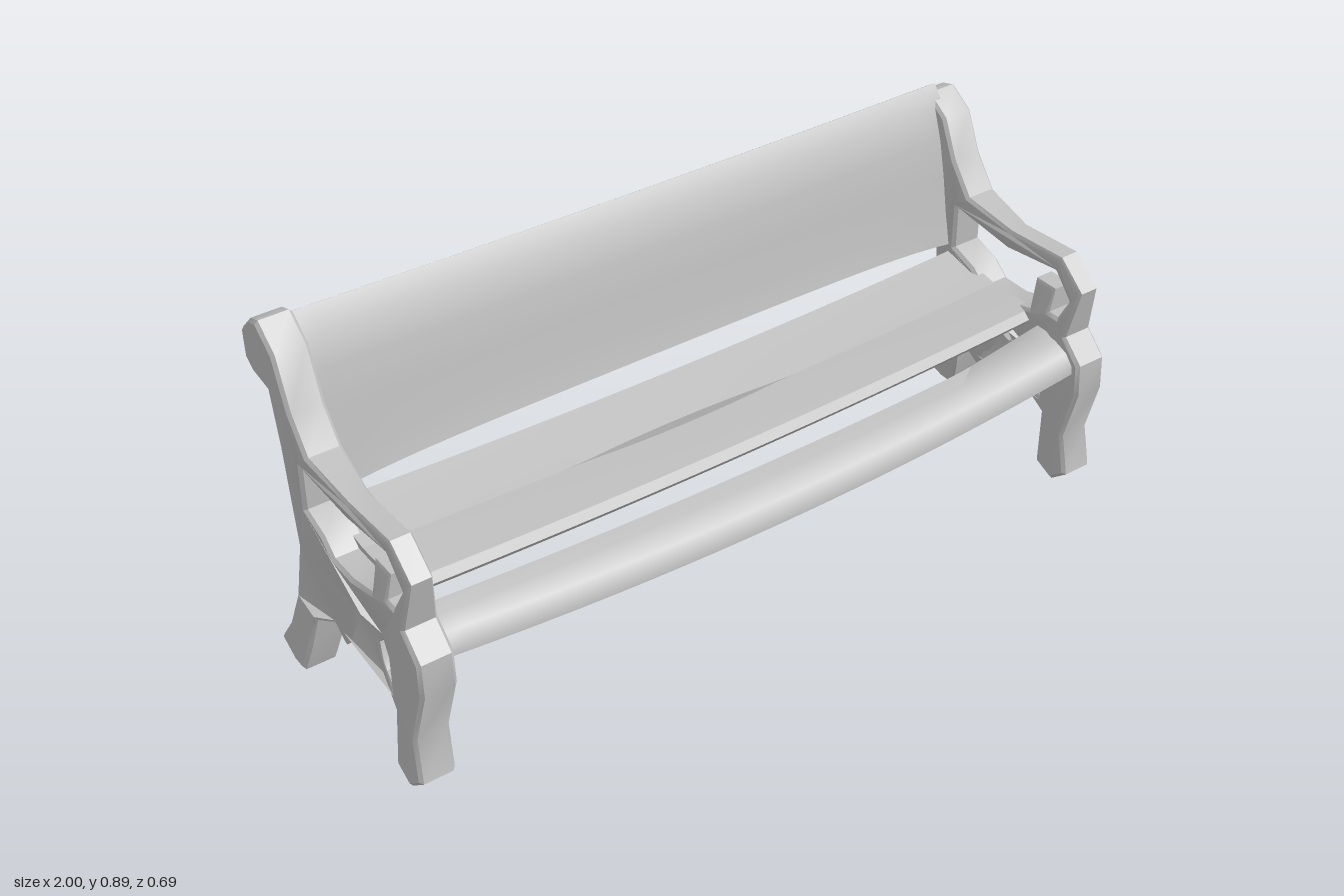
import * as THREE from 'three';
import { toCreasedNormals } from 'three/addons/utils/BufferGeometryUtils.js';

const castMetal = new THREE.MeshStandardMaterial({ color: 0xc0c0c0 });
castMetal.name = 'light grey';

// Profiles are lists of [z, y]; they are extruded along x.
const toPoints = (list) => list.map(([z, y]) => new THREE.Vector2(-z, y));

function extrudeAlongX(outline, holes, length, steps, bevel, warp, crease) {
  const shape = new THREE.Shape(toPoints(outline));
  holes.forEach((h) => shape.holes.push(new THREE.Path(toPoints(h))));
  const geo = new THREE.ExtrudeGeometry(shape, {
    depth: length - 2 * bevel, steps, bevelEnabled: bevel > 0,
    bevelSize: bevel, bevelThickness: bevel, bevelOffset: -bevel, bevelSegments: 1,
  });
  geo.translate(0, 0, bevel - length / 2);
  geo.rotateY(Math.PI / 2);
  const pos = geo.attributes.position;
  const v = new THREE.Vector3();
  for (let i = 0; i < pos.count; i++) {
    v.fromBufferAttribute(pos, i);
    warp(v);
    pos.setXYZ(i, v.x, v.y, v.z);
  }
  return toCreasedNormals(geo, crease);
}

// End frame: legs, scrolls, arm and back post in one casting
const frameOutline = [
  [0.33, 0.045], [0.283, 0.005], [0.225, 0.03], [0.225, 0.18], [0.145, 0.2], [0.1, 0.245],
  [0.1, 0.29], [0.085, 0.335], [0.035, 0.31], [0.045, 0.275], [0.01, 0.205], [-0.03, 0.165],
  [-0.08, 0.193], [-0.112, 0.19], [-0.13, 0.1], [-0.15, 0.03], [-0.19, 0.03], [-0.26, 0.055],
  [-0.225, 0.115], [-0.2, 0.21], [-0.19, 0.35], [-0.2, 0.43], [-0.22, 0.6], [-0.245, 0.73],
  [-0.31, 0.74], [-0.342, 0.765], [-0.345, 0.835], [-0.3, 0.88], [-0.265, 0.892], [-0.2, 0.84],
  [-0.155, 0.72], [-0.095, 0.64], [0.05, 0.612], [0.225, 0.624], [0.302, 0.56], [0.278, 0.43],
  [0.335, 0.375], [0.34, 0.29], [0.305, 0.15],
];
const frameHoles = [
  // opening under the arm, with the upright stub
  [[0.21, 0.582], [0.04, 0.56], [-0.132, 0.592], [-0.132, 0.48], [-0.06, 0.455], [-0.02, 0.42],
    [0.06, 0.42], [0.15, 0.445], [0.15, 0.53], [0.215, 0.53], [0.215, 0.47], [0.245, 0.47], [0.265, 0.52]],
  // two loops of the bracket below the seat
  [[0.2, 0.3], [0.145, 0.31], [0.122, 0.28], [0.135, 0.24], [0.15, 0.22], [0.212, 0.22]],
  [[0.0, 0.315], [-0.085, 0.258], [-0.085, 0.205], [-0.05, 0.205], [0.0, 0.24], [0.028, 0.28]],
];

function endFrame(side) {
  const middle = side > 0 ? 0.895 : -0.925;
  const geo = extrudeAlongX(frameOutline, frameHoles, 0.088, 1, 0.008, (v) => {
    const bracket = v.y < 0.34 && v.z < 0.2 && v.z > -0.1;
    const arm = v.y > 0.5 && v.y < 0.66 && v.z > -0.08;
    v.x *= bracket ? 0.55 : arm ? 0.65 : 1;
    // feet splay outward
    const drop = Math.max(0, 1 - v.y / 0.3);
    if (v.z < -0.1) v.x += side * 0.05 * drop;
    else if (side < 0) v.x -= 0.02 * drop;
    // the post on the left end stands slightly lower
    if (side > 0 && v.y > 0.7) v.y -= (v.y - 0.7) * 0.18;
    v.x += middle;
  }, 0.6);
  const mesh = new THREE.Mesh(geo, castMetal);
  mesh.name = side > 0 ? 'leftEndFrame' : 'rightEndFrame';
  return mesh;
}

// Long slats between the frames, bowed by a rule
const bow = (x) => 1 - (x / 0.9) ** 2;
const slats = [
  {
    name: 'backrest',
    profile: [[-0.15, 0.5], [-0.168, 0.56], [-0.186, 0.66], [-0.207, 0.76], [-0.235, 0.84], [-0.268, 0.885],
      [-0.29, 0.87], [-0.27, 0.82], [-0.243, 0.75], [-0.222, 0.66], [-0.204, 0.56], [-0.175, 0.495]],
    warp: (v) => {
      if (v.y > 0.7) v.y -= 0.012 * bow(v.x) + 0.008 * (v.x + 0.9) / 1.8;
      else if (v.y < 0.52) v.y -= 0.025 * (v.x / 0.9) ** 6;
      v.z -= 0.006 * bow(v.x);
    },
  },
  {
    name: 'rearSeatSlat',
    profile: [[0, 0.434], [-0.07, 0.445], [-0.15, 0.462], [-0.155, 0.445], [-0.07, 0.42], [0, 0.405]],
    warp: (v) => {
      if (v.z > -0.01) v.z -= 0.014 * Math.max(0, 1 - ((v.x + 0.06) / 0.28) ** 2);
      v.y -= 0.022 * bow(v.x);
    },
  },
  {
    name: 'middleSeatSlat',
    profile: [[0.165, 0.415], [0.15, 0.435], [0.08, 0.436], [0, 0.434], [0, 0.405], [0.08, 0.402], [0.15, 0.395]],
    warp: (v) => {
      if (v.z < 0.01) v.z += 0.01 * Math.max(0, 1 - ((v.x + 0.06) / 0.28) ** 2);
      if (v.z > 0.1) v.z -= 0.012 * (v.x + 0.9) / 1.8;
      v.y -= 0.022 * bow(v.x);
    },
  },
  {
    name: 'frontSeatSlat',
    profile: [[0.195, 0.4], [0.21, 0.415], [0.25, 0.41], [0.29, 0.395], [0.312, 0.37], [0.315, 0.348],
      [0.29, 0.35], [0.25, 0.375], [0.21, 0.387]],
    warp: (v) => {
      v.z += v.z > 0.28 ? 0.022 * bow(v.x) : 0;
      if (v.z < 0.22) v.z -= 0.03 * Math.max(0, (v.x - 0.6) / 0.3);
      v.y -= 0.03 * bow(v.x);
    },
  },
];

export function createModel() {
  const bench = new THREE.Group();
  bench.name = 'bench';
  bench.add(endFrame(1), endFrame(-1));
  for (const { name, profile, warp } of slats) {
    const geo = extrudeAlongX(profile, [], 1.78, 28, 0, (v) => {
      warp(v);
      v.x -= 0.015;
    }, 0.9);
    const mesh = new THREE.Mesh(geo, castMetal);
    mesh.name = name;
    bench.add(mesh);
  }
  return bench;
}
